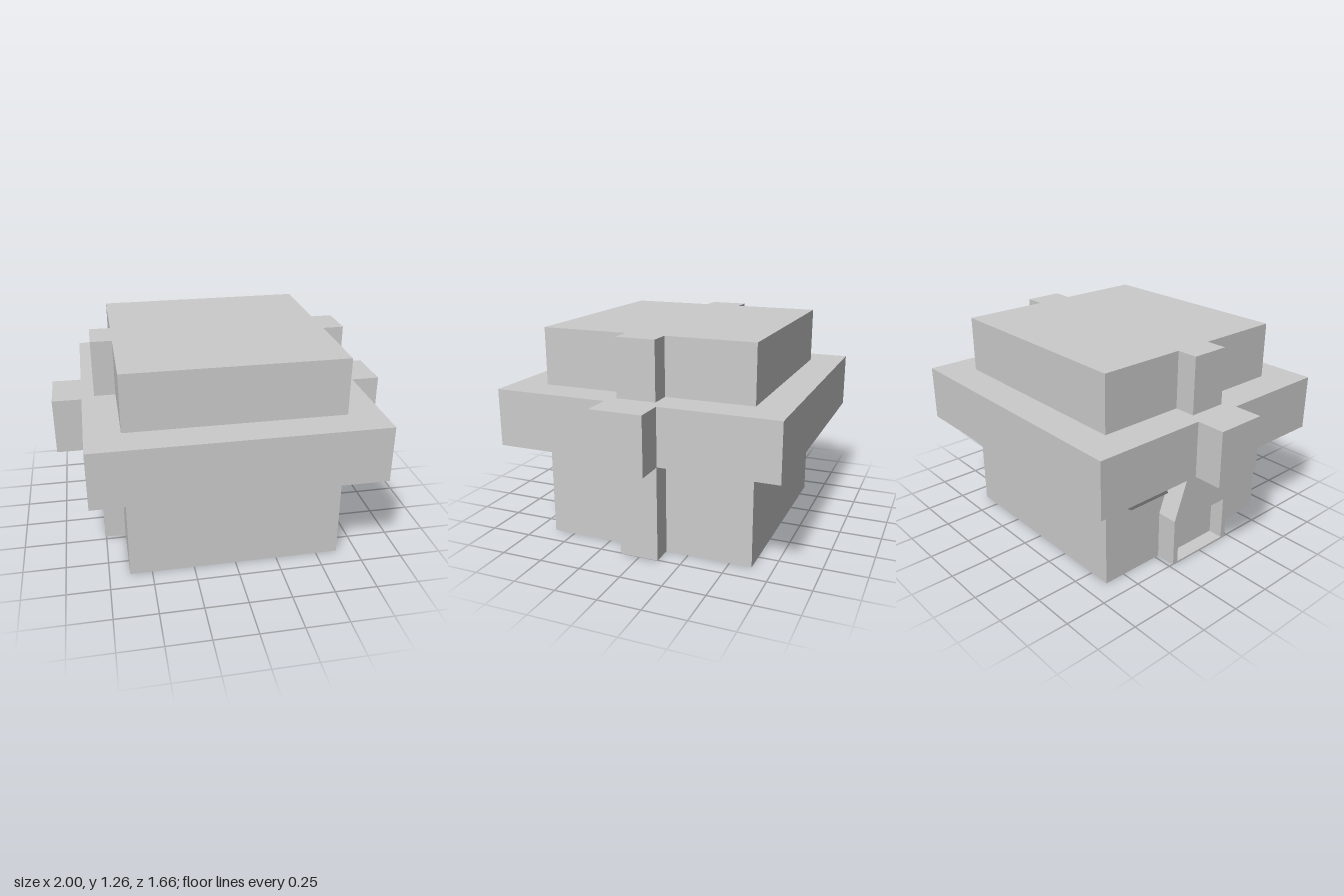
import * as THREE from 'three';

const grey = new THREE.MeshStandardMaterial({ color: 0xcccccc, flatShading: true });
const dark = new THREE.MeshStandardMaterial({ color: 0x777777, flatShading: true });

const shapeOf = (pts) => new THREE.Shape(pts.map(([x, y]) => new THREE.Vector2(x, y)));

// Square plan with a narrow rib of half width w reaching out to each side
function ribbedPlan(half, reachLeft, reachRight, w) {
  return shapeOf([
    [-half, -half], [half, -half], [half, -w], [reachLeft, -w], [reachLeft, w], [half, w],
    [half, half], [-half, half], [-half, w], [-reachRight, w], [-reachRight, -w], [-half, -w],
  ]);
}

export function createModel() {
  const model = new THREE.Group();
  const add = (name, geometry, material = grey) => {
    const mesh = new THREE.Mesh(geometry, material);
    mesh.name = name;
    model.add(mesh);
    return mesh;
  };

  // Storeys: plan shapes raised to their height
  const storey = (name, plan, y0, y1) => {
    const g = new THREE.ExtrudeGeometry(plan, { depth: y1 - y0, bevelEnabled: false });
    g.rotateX(-Math.PI / 2).translate(0, y0, 0);
    add(name, g);
  };
  const lowerPlan = shapeOf([
    [-0.63, -0.63], [0.63, -0.63], [0.63, -0.115], [0.755, -0.115],
    [0.755, 0.115], [0.63, 0.115], [0.63, 0.63], [-0.63, 0.63],
  ]);
  storey('lowerStorey', lowerPlan, 0, 0.593);
  storey('wideBand', ribbedPlan(0.83, 1, 1, 0.152), 0.593, 0.927);
  storey('upperStorey', ribbedPlan(0.63, 0.755, 0.755, 0.115), 0.927, 1.262);

  // Hearth on the right wall: wide base tapering to the rib above, with an open mouth
  const hearthOutline = () => shapeOf([
    [-0.225, 0], [0.225, 0], [0.225, 0.295], [0.115, 0.593], [-0.115, 0.593], [-0.225, 0.295],
  ]);
  const hearthLayer = (name, shape, x, depth) => {
    const g = new THREE.ExtrudeGeometry(shape, { depth, bevelEnabled: false });
    g.rotateY(-Math.PI / 2).translate(x, 0, 0);
    add(name, g);
  };
  hearthLayer('hearthBack', hearthOutline(), -0.63, 0.035);
  const front = hearthOutline();
  front.holes.push(shapeOf([[-0.19, 0.01], [-0.19, 0.28], [0.19, 0.28], [0.19, 0.01]]));
  hearthLayer('hearthSurround', front, -0.665, 0.09);

  // Tilted panel standing out of the wall beside the hearth
  const panel = add('tiltedPanel', new THREE.BoxGeometry(0.05, 0.16, 0.28), dark);
  panel.position.set(-0.615, 0.5, -0.33);
  panel.rotation.z = -Math.PI / 12;

  return model;
}
